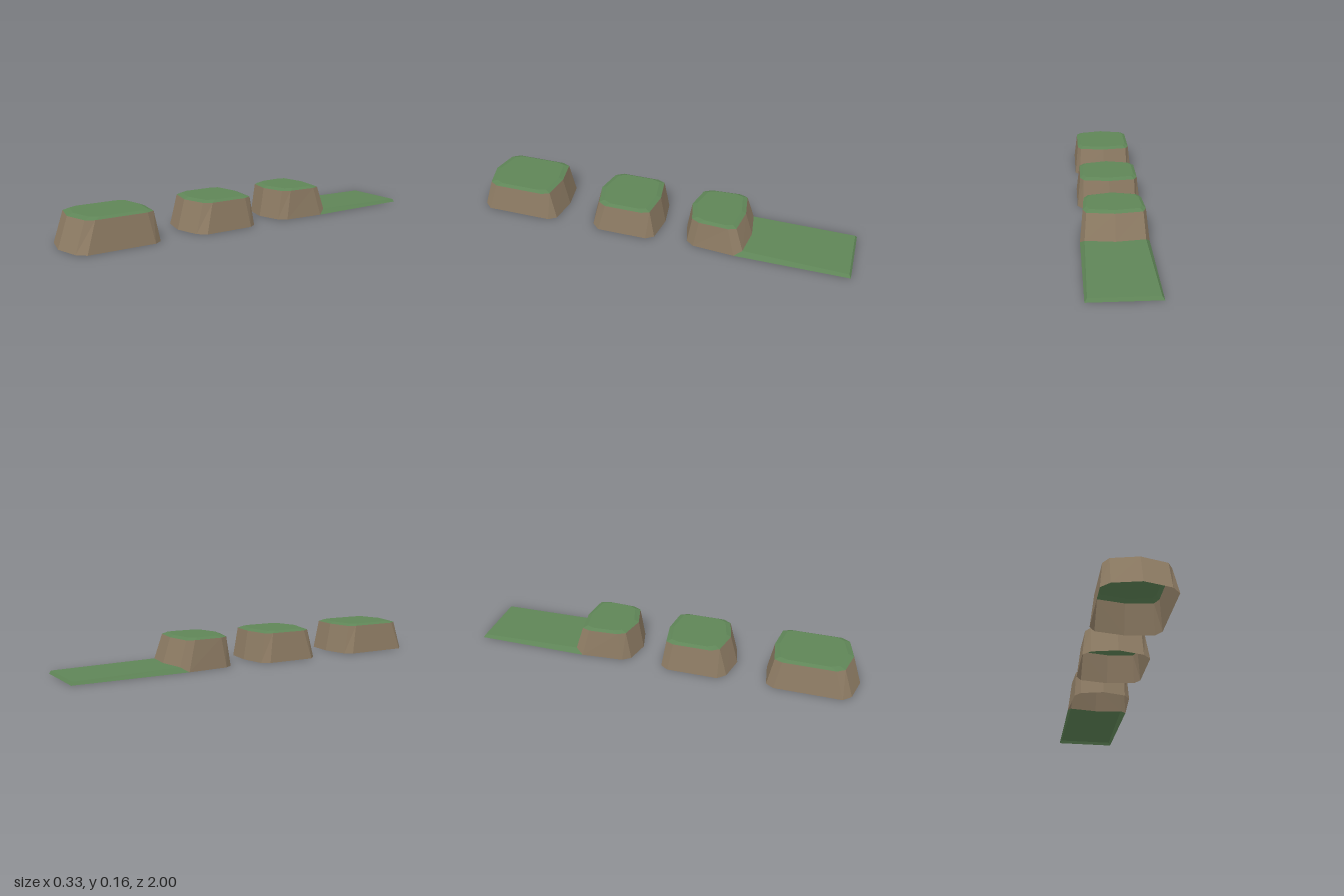
import * as THREE from 'three';

const brown = new THREE.MeshStandardMaterial({ color: 0x8f7d65, flatShading: true, side: THREE.DoubleSide });
brown.name = 'earthBrown';
const green = new THREE.MeshStandardMaterial({ color: 0x5f8557, flatShading: true, side: THREE.DoubleSide });
green.name = 'grassGreen';

// Mirror a half outline (front to back, x >= 0) into a closed ring
function ring(half) {
  const mirrored = half.slice(1, -1).reverse().map(([x, y, z]) => [-x, y, z]);
  return [...half, ...mirrored];
}

// Skin successive rings, optionally capping the last one
function skin(name, rings, material, cap = false) {
  const n = rings[0].length;
  const index = [];
  for (let r = 0; r < rings.length - 1; r++) {
    for (let i = 0; i < n; i++) {
      const a = r * n + i, b = r * n + (i + 1) % n;
      index.push(a, b, b + n, a, b + n, a + n);
    }
  }
  const last = (rings.length - 1) * n;
  if (cap) for (let i = 1; i < n - 1; i++) index.push(last, last + i, last + i + 1);
  return finish(name, rings.flat(2), index, material);
}

function finish(name, positions, index, material) {
  let g = new THREE.BufferGeometry();
  g.setAttribute('position', new THREE.Float32BufferAttribute(positions, 3));
  g.setIndex(index);
  g = g.toNonIndexed();
  g.computeVertexNormals();
  const mesh = new THREE.Mesh(g, material);
  mesh.name = name;
  return mesh;
}

// Half outline of a block at one height: bowed ends and clipped corners
function outline(y, front, back, xf, xb, clip, backY = y) {
  return ring([
    [0, y, front],
    [xf - clip, y, front - 0.03],
    [xf, y, front - 0.07],
    [xb, y, back + 0.06],
    [xb - clip * 0.7, backY, back + 0.02],
    [0, backY, back],
  ]);
}

// Tapered, bottomless block with a bevelled grass top
function block(name, foot, rim, top) {
  const group = new THREE.Group();
  group.name = name;
  group.add(skin('earthWalls', [foot, rim], brown));
  group.add(skin('grassTop', [rim, top], green, true));
  return group;
}

export function createModel() {
  const model = new THREE.Group();
  model.name = 'steppedPath';

  // Two freestanding blocks
  model.add(block('frontBlock',
    outline(0, 1.0, 0.53, 0.166, 0.166, 0.038),
    outline(0.15, 0.95, 0.56, 0.15, 0.15, 0.025),
    outline(0.16, 0.92, 0.585, 0.133, 0.133, 0.02)));
  model.add(block('middleBlock',
    outline(0, 0.375, -0.015, 0.166, 0.166, 0.038),
    outline(0.15, 0.335, 0.01, 0.15, 0.15, 0.025),
    outline(0.16, 0.31, 0.035, 0.133, 0.133, 0.02)));

  // Rear block, rising out of the grass strip
  model.add(block('rearBlock',
    outline(0, -0.135, -0.48, 0.15, 0.166, 0.03, 0.025),
    outline(0.15, -0.16, -0.44, 0.142, 0.15, 0.022),
    outline(0.16, -0.185, -0.418, 0.127, 0.133, 0.018)));

  // Low grass strip, open underneath, with sloping sides and end
  const half = [
    [0, 0.025, -0.48], [0.145, 0.025, -0.46], [0.166, 0, -0.42],
    [0.163, 0, -1], [0.152, 0.015, -0.99], [0, 0.015, -0.99], [0, 0, -1],
  ];
  const points = [...half, ...half.map(([x, y, z]) => [-x, y, z])];
  const faces = [0, 1, 4, 0, 4, 5, 1, 2, 3, 1, 3, 4, 5, 4, 3, 5, 3, 6];
  const index = [...faces];
  for (let i = 0; i < faces.length; i += 3) {
    index.push(faces[i] + 7, faces[i + 2] + 7, faces[i + 1] + 7);
  }
  model.add(finish('grassStrip', points.flat(), index, green));
  return model;
}
